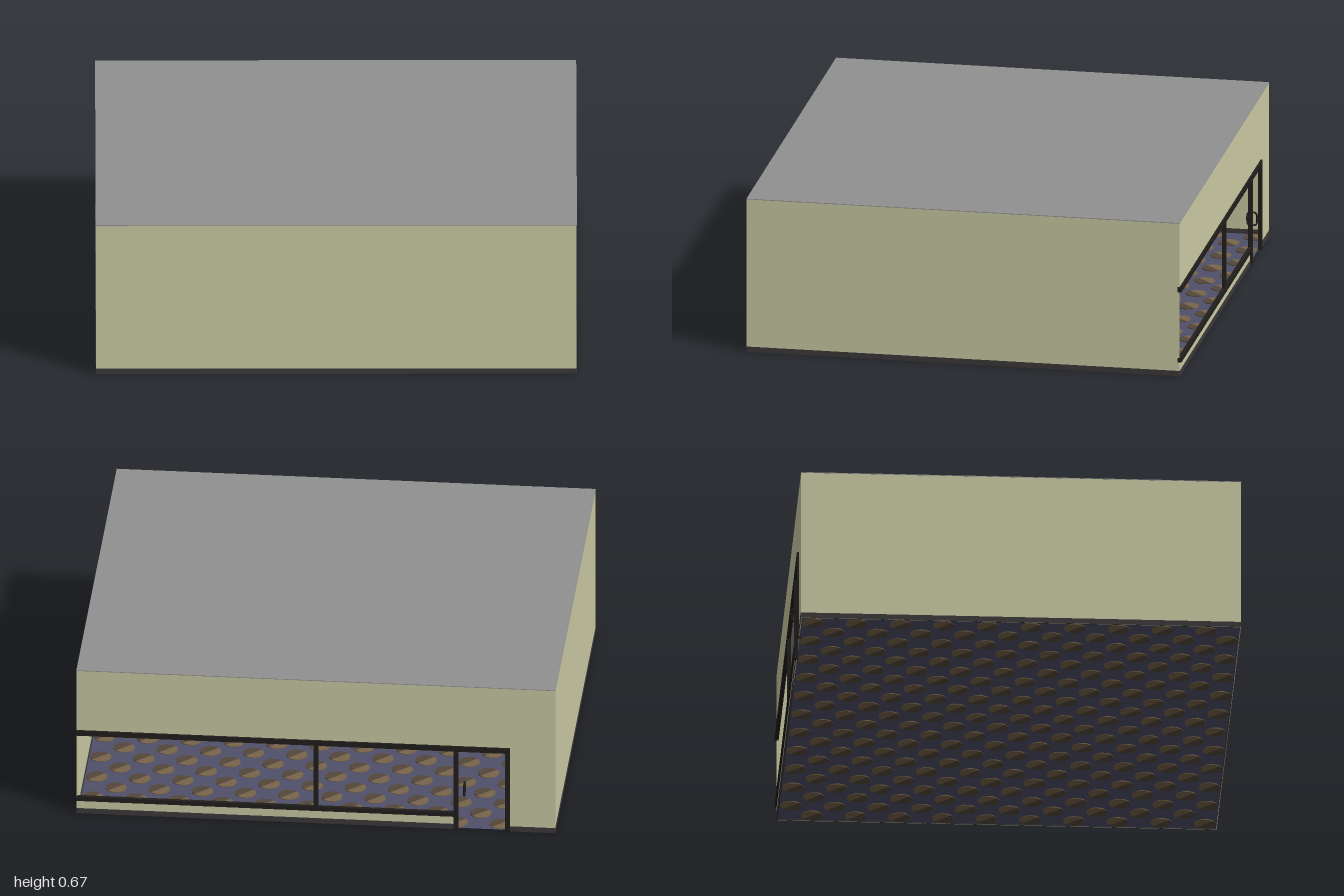
import * as THREE from 'three';
import { mergeGeometries } from 'three/addons/utils/BufferGeometryUtils.js';

const material = (name, color, side = THREE.FrontSide) => {
  const m = new THREE.MeshStandardMaterial({ color, side });
  m.name = name;
  return m;
};

export function createModel() {
  const group = new THREE.Group();
  const cream = material('cream wall', 0xcccca6);
  const grey = material('grey roof', 0x909090);
  const charcoal = material('charcoal skirting', 0x3c393a);
  const black = material('black frame', 0x211f1c);
  const slate = material('slate floor', 0x50506a, THREE.DoubleSide);
  const brown = material('brown floor spot', 0x78644a);
  const darkBrown = material('dark brown floor spot', 0x54463a);

  const add = (name, geometry, mat) => {
    const mesh = new THREE.Mesh(geometry, mat);
    mesh.name = name;
    group.add(mesh);
    return mesh;
  };
  // Box given by its lower and upper limits on each axis
  const box = (name, mat, x0, x1, y0, y1, z0, z1) => {
    const g = new THREE.BoxGeometry(x1 - x0, y1 - y0, z1 - z0);
    g.translate((x0 + x1) / 2, (y0 + y1) / 2, (z0 + z1) / 2);
    return add(name, g, mat);
  };

  const H = 0.667, front = 0.928, back = -0.904, t = 0.004;
  const doorRight = -0.8, doorLeft = -0.585, head = 0.385, sill = 0.07, skirt = 0.023;

  // Shell: thin walls and roof
  box('frontWall', cream, -0.999, 0.999, 0, H - 0.002, front - t - 0.001, front - 0.001);
  box('leftWall', cream, 0.999 - t, 0.999, 0, H - 0.002, back, front - t);
  box('rightWall', cream, -0.999, -0.999 + t, 0, H - 0.002, back, front - t);
  box('roof', grey, -1, 1, H - 0.003, H, back, front);

  // Back wall around the window band and the doorway
  box('backWallHeader', cream, -0.999, 0.999, head, H - 0.003, back, back + t);
  box('backWallSill', cream, doorLeft, 0.999, 0, sill, back, back + t);
  box('backWallPier', cream, -0.999, doorRight, 0, head, back, back + t);

  // Skirting, showing on both faces of each wall
  const s = 0.007;
  box('frontSkirting', charcoal, -1, 1, 0, skirt, front - s, front);
  box('leftSkirting', charcoal, 1 - s, 1, 0, skirt, back, front);
  box('rightSkirting', charcoal, -1, -1 + s, 0, skirt, back, front);
  box('backSkirtingLong', charcoal, doorLeft, 1, 0, skirt, back - 0.002, back + 0.005);
  box('backSkirtingShort', charcoal, -1, doorRight, 0, skirt, back - 0.002, back + 0.005);

  // Window and door frames
  const f = 0.02, z0 = back - 0.008, z1 = back + 0.008;
  box('headRail', black, doorRight - f / 2, 1, head - f, head + 0.003, z0, z1);
  box('sillRail', black, doorLeft, 1, sill - f / 2, sill + f / 2, z0, z1);
  for (const [name, x, y] of [['doorJamb', doorRight, 0], ['doorPost', doorLeft, 0], ['mullion', 0, sill]]) {
    box(name, black, x - f / 2, x + f / 2, y, head, z0, z1);
  }

  // Loop handles on both sides of the door
  for (const dir of [-1, 1]) {
    const curve = new THREE.CatmullRomCurve3(
      [[0.16, 0], [0.165, 0.015], [0.19, 0.019], [0.213, 0.015], [0.218, 0]].map(
        ([y, z]) => new THREE.Vector3(-0.62, y, back + dir * (z + 0.002))));
    add('doorHandle', new THREE.TubeGeometry(curve, 16, 0.004, 6), black);
  }
  box('handlePlate', black, -0.624, -0.616, 0.158, 0.22, back - 0.004, back + 0.004);

  // Floor with staggered two-tone spots visible from both faces
  const floor = new THREE.PlaneGeometry(1.99, front - back - 0.01);
  floor.rotateX(-Math.PI / 2).translate(0, 0.003, (front + back) / 2);
  add('floor', floor, slate);
  const cols = 22, rows = 20;
  const dx = 1.98 / cols, dz = (front - back - 0.014) / rows;
  const halves = [[], []];
  for (let i = 0; i < cols; i++) {
    for (let j = i % 2; j < rows; j += 2) {
      halves.forEach((list, k) => {
        const g = new THREE.CylinderGeometry(0.045, 0.045, 0.006, 6, 1, false, k * Math.PI - Math.PI / 4, Math.PI);
        g.translate(-0.99 + (i + 0.5) * dx, 0.003, back + 0.007 + (j + 0.5) * dz);
        list.push(g);
      });
    }
  }
  add('floorSpotsLight', mergeGeometries(halves[1]), brown);
  add('floorSpotsDark', mergeGeometries(halves[0]), darkBrown);

  return group;
}
